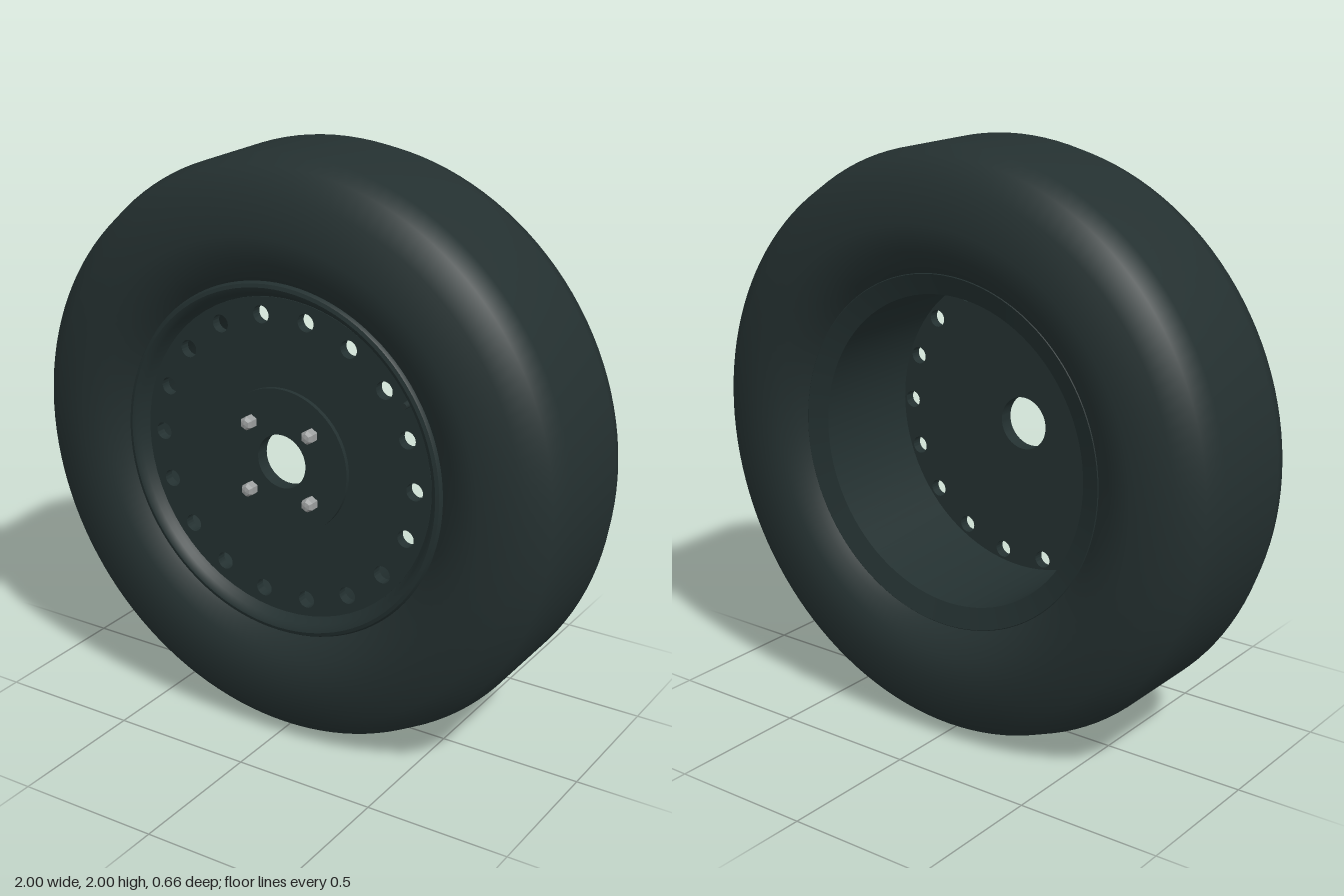
import * as THREE from 'three';
import { toCreasedNormals } from 'three/addons/utils/BufferGeometryUtils.js';

const rubber = new THREE.MeshStandardMaterial({ color: 0x243030 });
rubber.name = 'dark rubber';
const paintedSteel = new THREE.MeshStandardMaterial({ color: 0x233030 });
paintedSteel.name = 'dark painted steel';
const nutSteel = new THREE.MeshStandardMaterial({ color: 0x9c9f9f });
nutSteel.name = 'bare steel';

function addMesh(parent, name, geometry, material) {
  const mesh = new THREE.Mesh(geometry, material);
  mesh.name = name;
  parent.add(mesh);
  return mesh;
}

// Profile points are [radius, z]; the axle runs along z.
function lathe(points, segments = 96) {
  return new THREE.LatheGeometry(points.map(([r, z]) => new THREE.Vector2(r, z)), segments).rotateX(Math.PI / 2);
}

// Flat round plate with round holes given as [x, y, radius].
function plate(radius, holes, zBack, zFront) {
  const shape = new THREE.Shape().absarc(0, 0, radius, 0, Math.PI * 2);
  for (const [x, y, r] of holes) shape.holes.push(new THREE.Path().absarc(x, y, r, 0, Math.PI * 2, true));
  const geometry = new THREE.ExtrudeGeometry(shape, { depth: zFront - zBack, bevelEnabled: false, curveSegments: 32 });
  return toCreasedNormals(geometry.translate(0, 0, zBack), 0.6);
}

export function createModel() {
  const model = new THREE.Group();
  model.name = 'wheel';
  const wheel = new THREE.Group();
  wheel.name = 'wheelAssembly';
  wheel.position.y = 1;
  model.add(wheel);

  // Tyre: mirrored half profile from bead to tread
  const half = [[0.595, 0.24], [0.625, 0.272], [0.68, 0.31], [0.77, 0.33], [0.9, 0.295], [0.975, 0.235], [1, 0.16]];
  const back = half.map(([r, z]) => [r, -z]);
  addMesh(wheel, 'tyre', lathe([...back, ...half.slice().reverse()], 128), rubber);

  // Rim: barrel, flat back flange and rounded front lip
  const rimProfile = [
    [0.55, 0.22], [0.53, 0.2], [0.53, -0.225], [0.6, -0.25], [0.612, -0.24],
    [0.612, 0.255], [0.604, 0.268], [0.592, 0.272], [0.58, 0.267], [0.57, 0.253], [0.562, 0.235], [0.55, 0.22],
  ];
  addMesh(wheel, 'rim', toCreasedNormals(lathe(rimProfile), 0.6), paintedSteel);

  // Wheel disc with a ring of vent holes
  const bore = [0, 0, 0.093];
  const vents = Array.from({ length: 18 }, (_, i) => {
    const a = (i * Math.PI) / 9;
    return [0.492 * Math.cos(a), 0.492 * Math.sin(a), 0.03];
  });
  addMesh(wheel, 'wheelDisc', plate(0.552, [bore, ...vents], 0.19, 0.225), paintedSteel);
  addMesh(wheel, 'hubPlate', plate(0.25, [bore], 0.222, 0.24), paintedSteel);

  // Four hexagonal wheel nuts with domed ends
  const nutGeometry = toCreasedNormals(
    lathe([[0.024, 0], [0.024, 0.03], [0.016, 0.042], [0, 0.045]], 6), 0.2);
  for (const x of [-0.118, 0.118]) {
    for (const y of [-0.118, 0.118]) {
      addMesh(wheel, 'wheelNut', nutGeometry, nutSteel).position.set(x, y, 0.238);
    }
  }

  // Valve stem at the disc edge
  const valve = addMesh(wheel, 'valveStem', new THREE.CylinderGeometry(0.01, 0.012, 0.04, 16).rotateX(Math.PI / 2), rubber);
  valve.position.set(0.464, 0.29, 0.235);

  return model;
}
